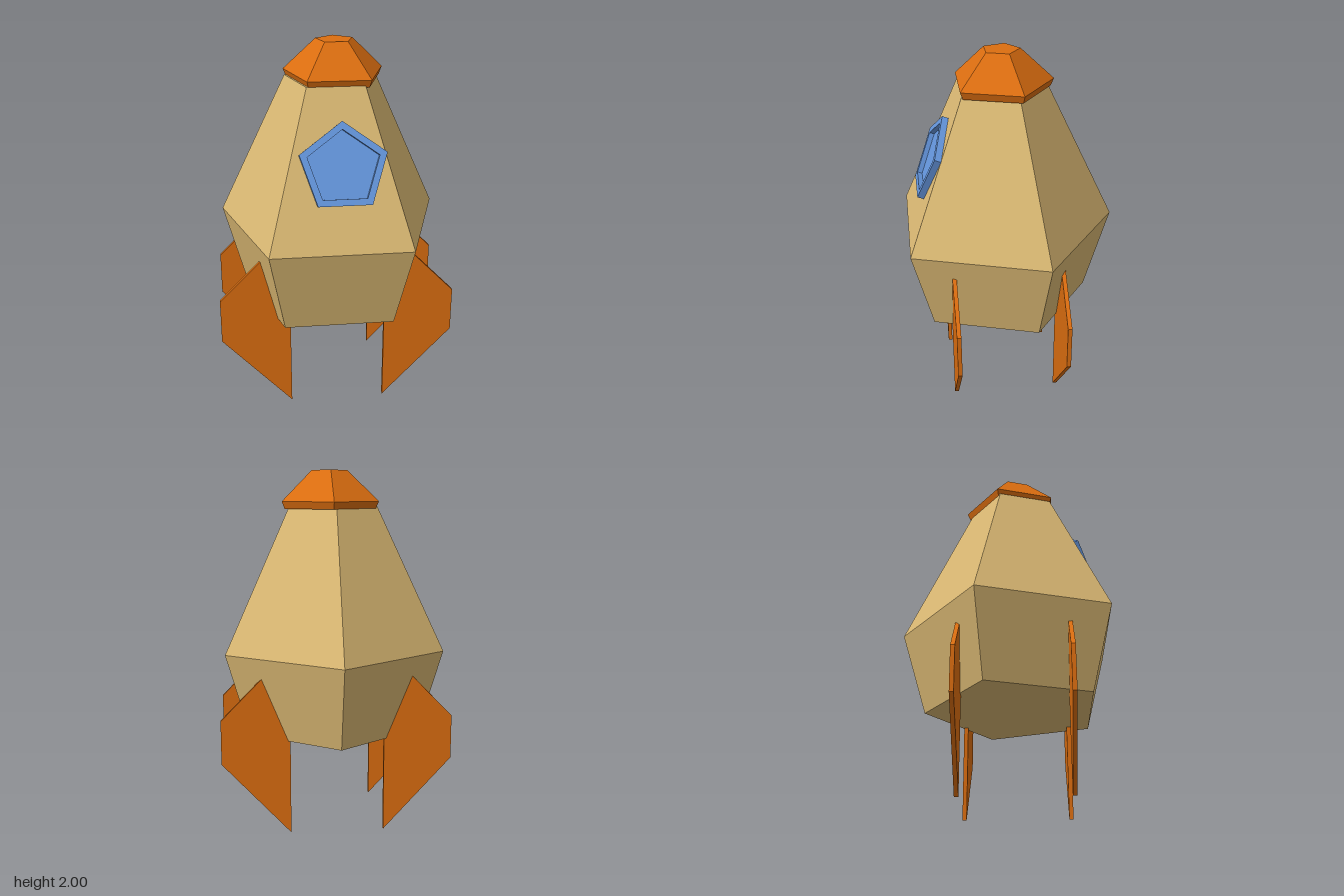
import * as THREE from 'three';

const paint = (color) => new THREE.MeshStandardMaterial({ color, flatShading: true });

// Five-sided stack of [radius, y] rings with one corner pointing to the back
function pentagonStack(name, rings, material, x, z) {
  const group = new THREE.Group();
  group.name = name;
  for (let i = 0; i < rings.length - 1; i++) {
    const [r0, y0] = rings[i], [r1, y1] = rings[i + 1];
    const section = new THREE.Mesh(
      new THREE.CylinderGeometry(r1, r0, y1 - y0, 5, 1, true, Math.PI), material);
    section.name = name + 'Section';
    section.position.y = (y0 + y1) / 2;
    group.add(section);
  }
  // Flat ends
  for (const end of [0, rings.length - 1]) {
    const lid = new THREE.Mesh(new THREE.CircleGeometry(rings[end][0], 5, Math.PI / 2), material);
    lid.name = name + (end ? 'Top' : 'Bottom');
    lid.rotation.x = -Math.PI / 2;
    if (!end) lid.geometry.scale(1, 1, -1), lid.geometry.index.array.reverse();
    lid.position.y = rings[end][1];
    group.add(lid);
  }
  group.position.set(x, 0, z);
  return group;
}

const pentagon = (r) => Array.from({ length: 5 }, (_, i) => {
  const a = Math.PI / 2 + i * Math.PI * 2 / 5;
  return new THREE.Vector2(r * Math.cos(a), r * Math.sin(a));
});

function extrude(name, shape, depth, material) {
  const mesh = new THREE.Mesh(
    new THREE.ExtrudeGeometry(shape, { depth, bevelEnabled: false }), material);
  mesh.name = name;
  return mesh;
}

export function createModel() {
  const model = new THREE.Group();
  model.name = 'rocket';
  const tan = paint(0xdcba74), orange = paint(0xdc6e10), blue = paint(0x6698e0);

  // Hull and nose cap
  model.add(pentagonStack('hull', [[0.503, 0.533], [0.641, 1], [0.258, 1.8]], tan, 0, 0.061));
  model.add(pentagonStack('noseCap', [[0.265, 1.79], [0.282, 1.83], [0.103, 2]], orange, 0.017, 0.052));

  // Porthole lying on the sloped front face
  const porthole = new THREE.Group();
  porthole.name = 'porthole';
  const rim = new THREE.Shape(pentagon(0.237));
  rim.holes.push(new THREE.Path(pentagon(0.195).reverse()));
  porthole.add(extrude('portholeRim', rim, 0.036, blue));
  porthole.add(extrude('portholeGlass', new THREE.Shape(pentagon(0.197)), 0.009, blue));
  porthole.position.set(0.02, 1.414, 0.419);
  porthole.rotation.x = -Math.atan2(0.31, 0.79);
  model.add(porthole);

  // Four thin landing fins, one pair at the front and one at the back
  const outline = [[0.26, 0], [0.64, 0.41], [0.64, 0.655], [0.415, 0.885], [0.26, 0.55]];
  const thickness = 0.023;
  for (const side of [1, -1]) {
    for (const [end, z] of [['Front', 0.355], ['Back', -0.233]]) {
      const shape = new THREE.Shape(outline.map(([x, y]) => new THREE.Vector2(side * x, y)));
      const fin = extrude((side > 0 ? 'left' : 'right') + end + 'Fin', shape, thickness, orange);
      fin.position.z = z - thickness / 2;
      model.add(fin);
    }
  }
  return model;
}
